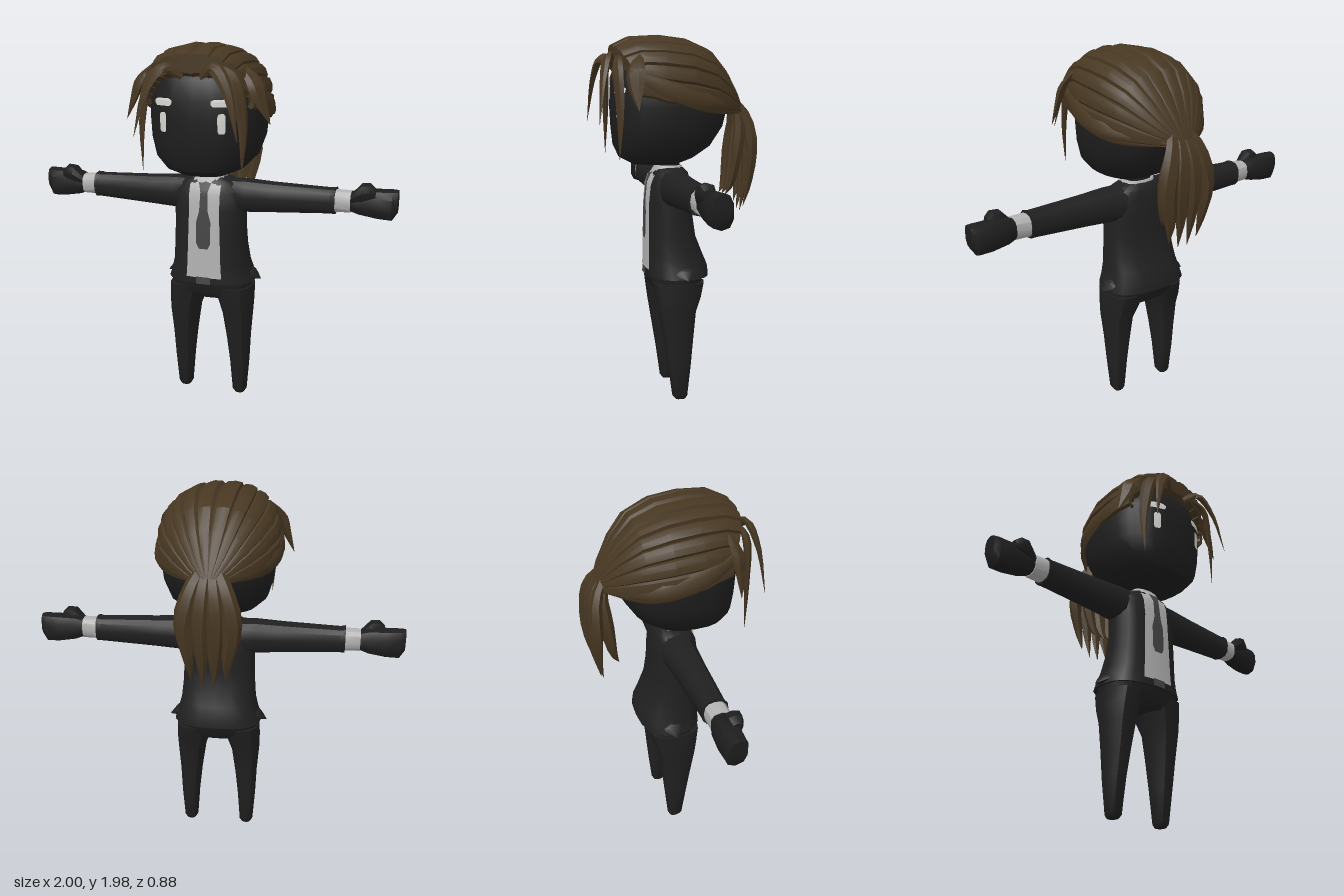
import * as THREE from 'three';
import { toCreasedNormals } from 'three/addons/utils/BufferGeometryUtils.js';

const V = (x, y, z) => new THREE.Vector3(x, y, z);
const mat = (name, color, side = THREE.FrontSide) => {
  const m = new THREE.MeshStandardMaterial({ color, side });
  m.name = name;
  return m;
};

// Skin a grid of points; closed solids are turned so that faces point outward.
function skin(rows, solid, crease = 0.6) {
  const pos = rows.flat().flatMap(p => [p.x, p.y, p.z]);
  const n = rows[0].length;
  const tris = [];
  for (let i = 0; i < rows.length - 1; i++) {
    for (let j = 0; j < n - 1; j++) {
      const a = i * n + j, b = a + 1, c = b + n, d = a + n;
      tris.push([a, b, c], [a, c, d]);
    }
  }
  const flat = rows.flat();
  let volume = 0;
  for (const [a, b, c] of tris) volume += flat[a].dot(V(0, 0, 0).crossVectors(flat[b], flat[c]));
  if (solid && volume < 0) tris.forEach(t => t.reverse());
  const g = new THREE.BufferGeometry();
  g.setAttribute('position', new THREE.Float32BufferAttribute(pos, 3));
  g.setIndex(tris.flat());
  return toCreasedNormals(g, crease);
}

// Close both ends of a stack of rings.
function capped(rings) {
  const collapse = r => {
    const c = V(0, 0, 0);
    r.slice(1).forEach(p => c.add(p));
    c.divideScalar(r.length - 1);
    return r.map(() => c.clone());
  };
  return skin([collapse(rings[0]), ...rings, collapse(rings[rings.length - 1])], true);
}

const POWER = 2.6;
const bend = v => Math.sign(v) * Math.abs(v) ** (2 / POWER);

// Sections are [along, centre, radius, zMin, zMax]; place() maps (along, across, z) to space.
function loft(sections, place, sides = 16) {
  return capped(sections.map(([h, c, r, z0, z1]) => {
    const ring = [];
    for (let i = 0; i <= sides; i++) {
      const a = (i % sides) / sides * Math.PI * 2;
      ring.push(place(h, c + r * bend(Math.cos(a)), (z0 + z1) / 2 + (z1 - z0) / 2 * bend(Math.sin(a))));
    }
    return ring;
  }));
}

// Front z of an upright loft at (x, y).
function frontZ(sections, x, y) {
  let k = 0;
  while (k < sections.length - 2 && sections[k + 1][0] < y) k++;
  const A = sections[k], B = sections[k + 1];
  const t = THREE.MathUtils.clamp((y - A[0]) / (B[0] - A[0]), 0, 1);
  const [, , r, z0, z1] = A.map((v, i) => v + (B[i] - v) * t);
  const q = Math.max(0, 1 - Math.min(1, Math.abs(x) / r) ** POWER) ** (1 / POWER);
  return (z0 + z1) / 2 + (z1 - z0) / 2 * q;
}

// Painted plate lying on a loft; outline rows are [y, xLeft, xRight] from bottom to top.
function plate(sections, outline, lift) {
  const rows = [];
  for (let i = 0; i < outline.length - 1; i++) {
    for (let s = i ? 1 : 0; s <= 4; s++) {
      const [y, x0, x1] = outline[i].map((v, k) => v + (outline[i + 1][k] - v) * s / 4);
      const row = [];
      for (let j = 0; j <= 6; j++) {
        const x = x0 + (x1 - x0) * j / 6;
        row.push(V(x, y, frontZ(sections, x, y) + lift));
      }
      rows.push(row);
    }
  }
  return skin(rows, false, 1);
}

// Tapered, flattened lock of hair along a curve.
function lock(points, width, thick) {
  const curve = new THREE.CatmullRomCurve3(points.map(p => V(...p)));
  const rings = [];
  for (let i = 0; i <= 10; i++) {
    const t = i / 10, p = curve.getPoint(t), dir = curve.getTangent(t);
    const out = p.clone().sub(V(0, 1.6, 0));
    const side = V(0, 0, 0).crossVectors(dir, out).normalize();
    const up = V(0, 0, 0).crossVectors(side, dir).normalize();
    const f = t < 0.4 ? 0.55 + 0.45 * t / 0.4 : Math.max(0.02, 1 - ((t - 0.4) / 0.6) ** 1.6);
    const ring = [];
    for (let j = 0; j <= 6; j++) {
      const a = (j % 6) / 6 * Math.PI * 2;
      ring.push(p.clone().addScaledVector(side, Math.cos(a) * width * f).addScaledVector(up, Math.sin(a) * thick * f));
    }
    rings.push(ring);
  }
  return capped(rings);
}

// Swept-back hair cap: arches [z, rx, centreY, ry] from the hairline to the tie.
function hairCap() {
  const arches = [
    [0.27, 0.23, 1.67, 0.13], [0.34, 0.275, 1.69, 0.145], [0.34, 0.295, 1.69, 0.235],
    [0.26, 0.315, 1.685, 0.28], [0.1, 0.325, 1.665, 0.31], [-0.05, 0.318, 1.65, 0.308],
    [-0.18, 0.275, 1.63, 0.275], [-0.27, 0.205, 1.61, 0.195], [-0.34, 0.12, 1.59, 0.1], [-0.385, 0.04, 1.57, 0.03]
  ];
  const strands = 12, span = Math.PI * 1.06;
  const profile = [[0, 0.965], [0.12, 1.015], [0.5, 1.025], [0.88, 1.005]];
  return skin(arches.map(([z, rx, cy, ry]) => {
    const row = [];
    for (let i = 0; i <= strands; i++) {
      for (const [t, k] of i < strands ? profile : [profile[0]]) {
        const a = ((i + t) / strands - 0.5) * span;
        const s = Math.sin(a), c = Math.cos(a);
        const round = v => Math.sign(v) * Math.abs(v) ** 0.87;
        const back = z > 0.2 ? 0.09 * Math.abs(s) ** 3 : 0;
        row.push(V(rx * round(s) * k, cy + ry * round(c) * k, z - back));
      }
    }
    return row;
  }), false, 0.45);
}

export function createModel() {
  const model = new THREE.Group();
  const suit = mat('suit black', 0x202020), skinMat = mat('head black', 0x1e1e1e);
  const shirt = mat('shirt grey', 0xb2b2b2), tie = mat('tie grey', 0x454545);
  const eye = mat('eye white', 0xd6d6d2), hair = mat('hair brown', 0x473722, THREE.DoubleSide);
  const add = (name, geometry, material) => {
    const m = new THREE.Mesh(geometry, material);
    m.name = name;
    model.add(m);
  };
  const upright = (h, c, z) => V(c, h, z);

  // Jacket, hips, neck and head
  const torso = [
    [0.69, 0, 0.245, -0.18, 0.165], [0.74, 0, 0.228, -0.175, 0.163], [0.8, 0, 0.212, -0.15, 0.162],
    [0.9, 0, 0.203, -0.11, 0.16], [1.0, 0, 0.198, -0.095, 0.158], [1.1, 0, 0.198, -0.09, 0.155],
    [1.2, 0, 0.195, -0.08, 0.145], [1.25, 0, 0.155, -0.07, 0.125], [1.28, 0, 0.09, -0.045, 0.1]
  ];
  const head = [
    [1.3, 0, 0.12, -0.02, 0.23], [1.335, 0, 0.2, -0.1, 0.3], [1.4, 0, 0.262, -0.19, 0.33],
    [1.5, 0, 0.292, -0.255, 0.34], [1.6, 0, 0.3, -0.28, 0.345], [1.7, 0, 0.297, -0.265, 0.342],
    [1.8, 0, 0.255, -0.2, 0.32], [1.87, 0, 0.19, -0.1, 0.26]
  ];
  const hips = [[0.595, 0, 0.17, -0.11, 0.11], [0.63, 0, 0.225, -0.135, 0.14], [0.71, 0, 0.235, -0.16, 0.155]];
  add('jacket', loft(torso, upright, 20), suit);
  add('hips', loft(hips, upright), suit);
  add('neck', loft([[1.25, 0, 0.075, -0.03, 0.09], [1.34, 0, 0.075, -0.03, 0.09]], upright, 12), skinMat);
  add('collar', loft([[1.25, 0, 0.11, -0.055, 0.12], [1.29, 0, 0.088, -0.042, 0.105]], upright, 12), shirt);
  add('head', loft(head, upright, 24), skinMat);

  // Shirt front, tie and buckle
  add('shirtFront', plate(torso, [[0.725, -0.1, 0.1], [0.8, -0.095, 0.095], [1.1, -0.085, 0.085], [1.275, -0.088, 0.088]], 0.004), shirt);
  add('tie', plate(torso, [[0.89, -0.025, 0.025], [0.92, -0.04, 0.04], [1.04, -0.04, 0.04],
    [1.1, -0.024, 0.024], [1.2, -0.02, 0.02], [1.25, -0.035, 0.035]], 0.008), tie);
  add('buckle', plate(torso, [[0.69, -0.04, 0.04], [0.73, -0.04, 0.04]], 0.007), tie);

  for (const s of [1, -1]) {
    const side = s > 0 ? 'left' : 'right';
    const sideways = (h, c, z) => V(s * h, c, z);
    const leg = (h, c, z) => V(s * c, h, z);
    const swept = (pts, w, t) => lock(pts.map(([x, y, z]) => [s * x, y, z]), w, t);

    // Leg and hem corner
    add(side + 'Leg', loft([
      [0, 0.165, 0.026, -0.03, 0.03], [0.02, 0.165, 0.039, -0.04, 0.045], [0.2, 0.165, 0.052, -0.06, 0.07],
      [0.35, 0.16, 0.063, -0.075, 0.095], [0.5, 0.155, 0.08, -0.09, 0.12],
      [0.58, 0.143, 0.094, -0.12, 0.133], [0.66, 0.13, 0.105, -0.14, 0.145]
    ], leg, 12), suit);
    add(side + 'HemCorner', swept([[0.19, 0.76, -0.02], [0.23, 0.72, -0.02], [0.275, 0.692, -0.02]], 0.06, 0.022), suit);

    // Sleeve, cuff, fist and thumb
    add(side + 'Sleeve', loft([
      [0.1, 1.17, 0.095, -0.07, 0.115], [0.2, 1.175, 0.092, -0.06, 0.11], [0.35, 1.175, 0.083, -0.05, 0.1],
      [0.66, 1.178, 0.069, -0.043, 0.085], [0.685, 1.18, 0.072, -0.046, 0.09]
    ], sideways, 12), suit);
    add(side + 'Cuff', loft([[0.67, 1.18, 0.06, -0.036, 0.08], [0.765, 1.18, 0.058, -0.035, 0.078]], sideways, 12), shirt);
    add(side + 'Fist', loft([
      [0.755, 1.18, 0.05, -0.03, 0.07], [0.81, 1.18, 0.07, -0.045, 0.075], [0.9, 1.175, 0.08, -0.05, 0.075],
      [0.972, 1.174, 0.083, -0.045, 0.07], [1.0, 1.195, 0.06, -0.03, 0.055]
    ], sideways, 10), skinMat);
    add(side + 'Thumb', loft([
      [0.765, 1.2, 0.025, 0.02, 0.075], [0.82, 1.235, 0.05, 0, 0.095],
      [0.86, 1.243, 0.045, 0.005, 0.09], [0.89, 1.235, 0.025, 0.02, 0.075]
    ], sideways, 8), skinMat);

    // Eye and brow
    const mid = 0.155 * s;
    add(side + 'Eye', plate(head, [[1.54, mid - 0.012, mid + 0.012], [1.552, mid - 0.019, mid + 0.019],
      [1.628, mid - 0.019, mid + 0.019], [1.64, mid - 0.012, mid + 0.012]], 0.007), eye);
    add(side + 'Brow', plate(head, [[1.672, mid - 0.04, mid + 0.04], [1.685, mid - 0.052, mid + 0.052],
      [1.7, mid - 0.052, mid + 0.052], [1.71, mid - 0.035, mid + 0.035]], 0.007), eye);

    // Fringe locks
    add(side + 'FringeInner', swept([[0.05, 1.82, 0.33], [0.13, 1.865, 0.375], [0.21, 1.76, 0.41], [0.27, 1.52, 0.44]], 0.038, 0.018), hair);
    add(side + 'FringeLong', swept([[0.12, 1.87, 0.32], [0.215, 1.82, 0.34], [0.265, 1.6, 0.335], [0.265, 1.34, 0.34]], 0.038, 0.018), hair);
    add(side + 'FringeOuter', swept([[0.24, 1.86, 0.24], [0.305, 1.79, 0.26], [0.34, 1.7, 0.265], [0.385, 1.59, 0.26]], 0.055, 0.022), hair);
    // Strands drawn back above the ear
    add(side + 'SideStrand', swept([[0.3, 1.76, 0.24], [0.325, 1.69, 0.08], [0.29, 1.63, -0.15], [0.1, 1.59, -0.36]], 0.05, 0.016), hair);
    add(side + 'NapeStrand', swept([[0.3, 1.72, 0.2], [0.315, 1.65, 0], [0.26, 1.6, -0.18], [0.08, 1.57, -0.36]], 0.04, 0.014), hair);
  }

  // Hair cap and ponytail
  add('hairCap', hairCap(), hair);
  for (let i = 0; i < 7; i++) {
    const u = (i - 3) / 3, inner = i % 2;
    add('ponytailStrand', lock([
      [u * 0.03, 1.65, -0.32], [u * 0.085, 1.54, inner ? -0.355 : -0.39],
      [u * 0.125, 1.36, inner ? -0.34 : -0.41], [u * 0.1, 1.18, inner ? -0.31 : -0.4],
      [u * 0.09, inner ? 1.12 : 1.01 + Math.abs(u) * 0.05, inner ? -0.28 : -0.375]
    ], 0.052, 0.034), hair);
  }
  return model;
}
